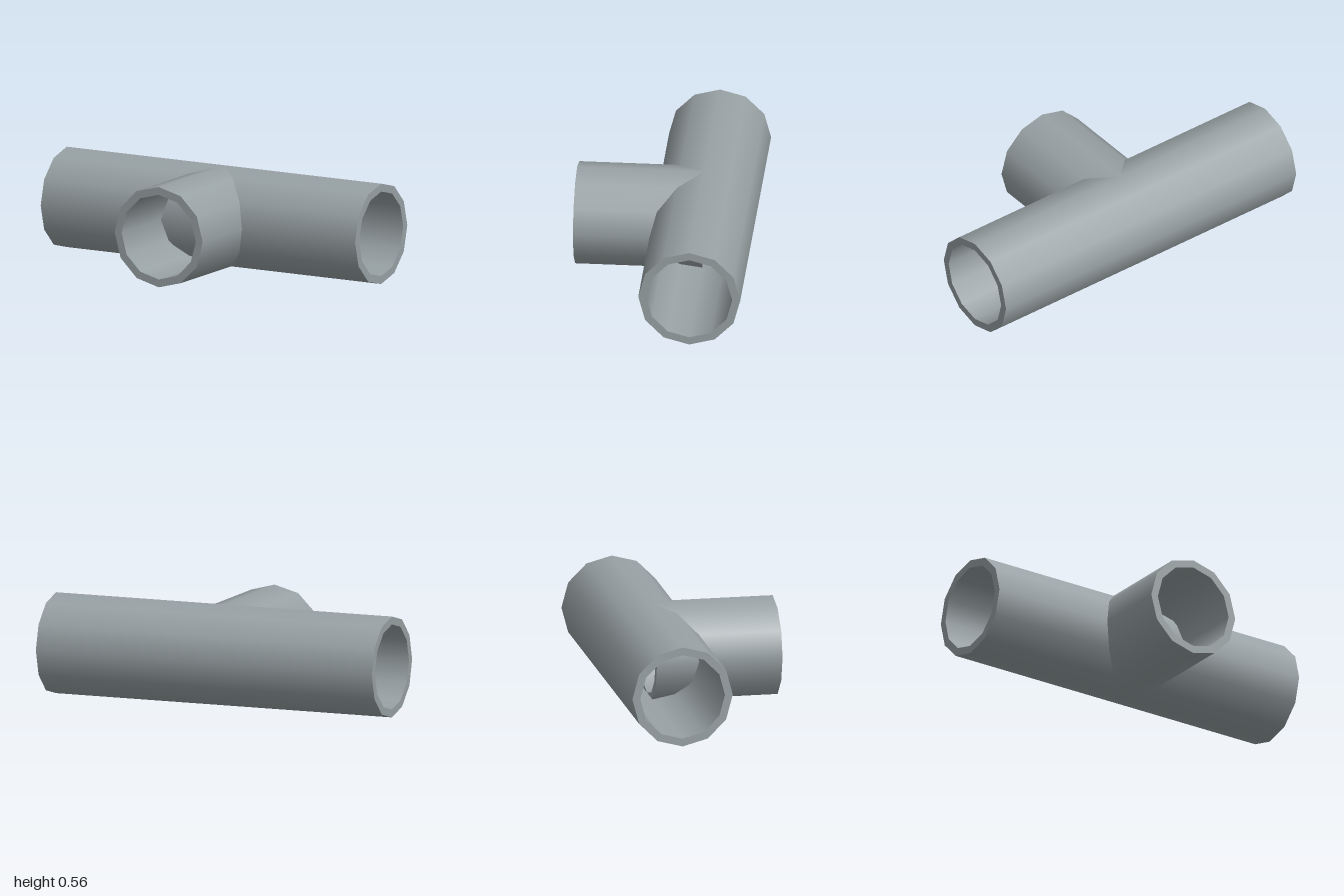
import * as THREE from 'three';

const OUTER = 0.28, INNER = 0.236, SIDES = 12;

// Hollow pipe along local y, centred on its origin, with flat rims at both ends
function makePipe(name, length, material) {
  const pipe = new THREE.Group();
  pipe.name = name;
  const add = (geometry, part) => {
    const mesh = new THREE.Mesh(geometry, material);
    mesh.name = part;
    pipe.add(mesh);
    return mesh;
  };
  add(new THREE.CylinderGeometry(OUTER, OUTER, length, SIDES, 1, true), name + 'OuterWall');

  // Bore: same tube turned inside out
  const bore = new THREE.CylinderGeometry(INNER, INNER, length, SIDES, 1, true);
  bore.index.array.reverse();
  const normals = bore.attributes.normal;
  for (let i = 0; i < normals.count; i++) {
    normals.setXYZ(i, -normals.getX(i), -normals.getY(i), -normals.getZ(i));
  }
  add(bore, name + 'Bore');

  // End rims
  for (const side of [1, -1]) {
    const rim = add(new THREE.RingGeometry(INNER, OUTER, SIDES), name + 'Rim');
    rim.rotation.x = -side * Math.PI / 2;
    rim.position.y = side * length / 2;
  }
  return pipe;
}

export function createModel() {
  const model = new THREE.Group();
  model.name = 'pipeTee';
  const steel = new THREE.MeshStandardMaterial({ color: 0x98a1a4 });
  steel.name = 'steelGrey';

  // Long straight run
  const run = makePipe('mainPipe', 2, steel);
  run.rotation.z = Math.PI / 2;
  run.position.set(0, OUTER, -0.21);

  // Branch reaching from the run's axis to the front
  const branch = makePipe('branchPipe', 0.7, steel);
  branch.rotation.x = Math.PI / 2;
  branch.position.set(0, OUTER, 0.14);

  model.add(run, branch);
  return model;
}
